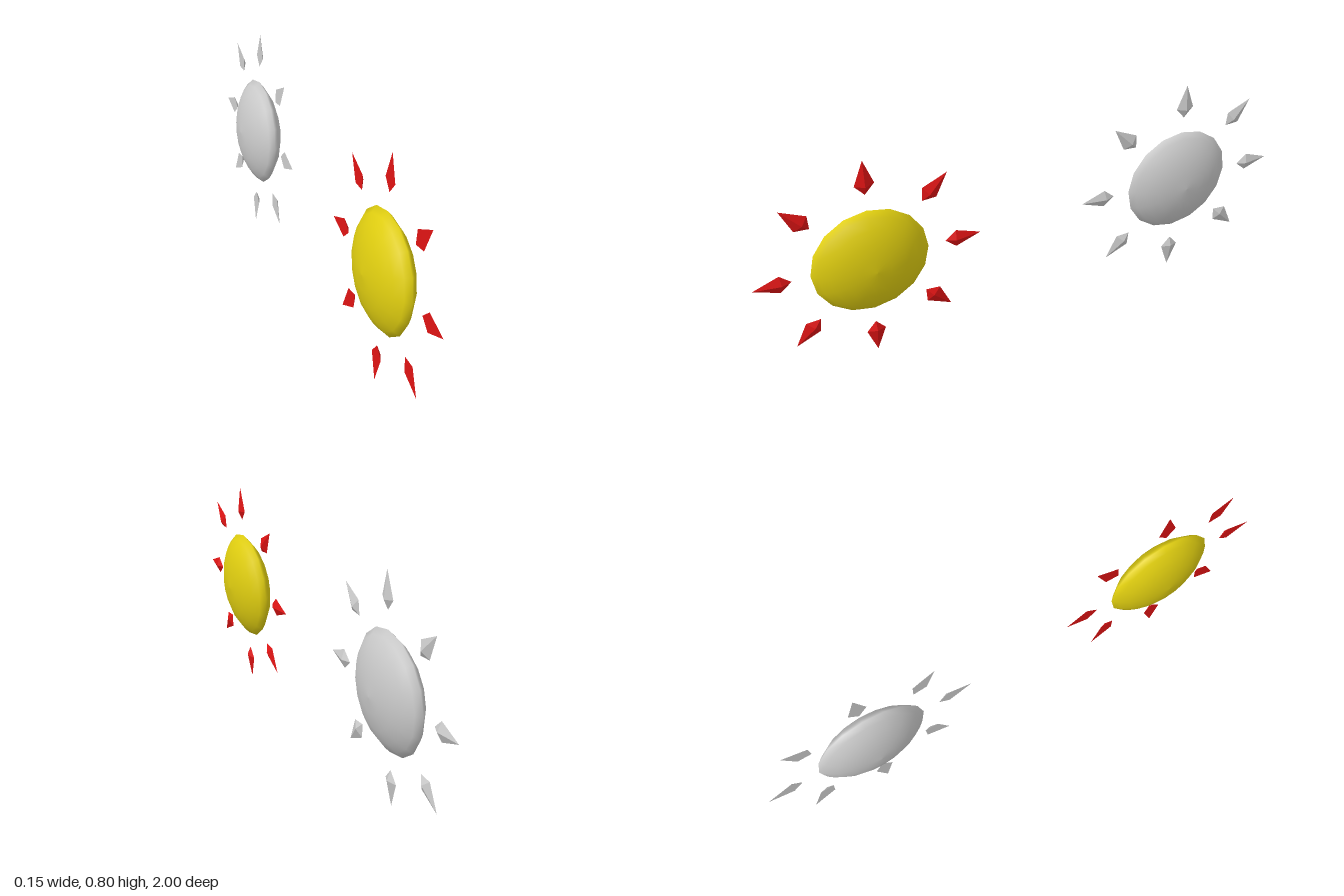
import * as THREE from 'three';

// Lens-shaped disc with its axis along x
function discGeometry() {
  const half = [[0.207, 0], [0.187, 0.018], [0.155, 0.039], [0.11, 0.057], [0.055, 0.069], [0, 0.073]];
  const lower = half.slice(1).reverse().map(([r, h]) => new THREE.Vector2(r, -h));
  const upper = half.map(([r, h]) => new THREE.Vector2(r, h));
  return new THREE.LatheGeometry([...lower, ...upper], 16).rotateZ(-Math.PI / 2);
}

// Kite with a flat back and a raised point on +x, reaching outward along +y
function rayGeometry() {
  const tip = [0, 0.4, 0], left = [0, 0.309, 0.034], inner = [0, 0.27, 0];
  const right = [0, 0.309, -0.034], apex = [0.014, 0.305, 0];
  const rim = [tip, left, inner, right];
  const faces = rim.map((p, i) => [p, rim[(i + 1) % 4], apex]);
  faces.push([tip, right, inner], [tip, inner, left]);
  const geo = new THREE.BufferGeometry();
  geo.setAttribute('position', new THREE.Float32BufferAttribute(faces.flat(2), 3));
  geo.computeVertexNormals();
  return geo;
}

function createSun(name, discColor, rayColor) {
  const sun = new THREE.Group();
  sun.name = name;

  const disc = new THREE.Mesh(discGeometry(), new THREE.MeshStandardMaterial({ color: discColor }));
  disc.name = 'disc';
  sun.add(disc);

  // Eight rays around the disc
  const geo = rayGeometry();
  const mat = new THREE.MeshStandardMaterial({ color: rayColor, flatShading: true });
  for (let i = 0; i < 8; i++) {
    const ray = new THREE.Mesh(geo, mat);
    ray.name = 'ray' + (i + 1);
    ray.rotation.x = (i * Math.PI) / 4;
    sun.add(ray);
  }

  // Slight lean toward +x
  sun.rotation.z = -0.046;
  return sun;
}

export function createModel() {
  const model = new THREE.Group();
  model.name = 'sunPair';
  const front = createSun('frontSun', 0xe2d010, 0xe01414);
  front.position.set(0.002, 0.408, 0.6);
  const back = createSun('backSun', 0xcccccc, 0xcccccc);
  back.position.set(0.002, 0.408, -0.6);
  model.add(front, back);
  return model;
}
